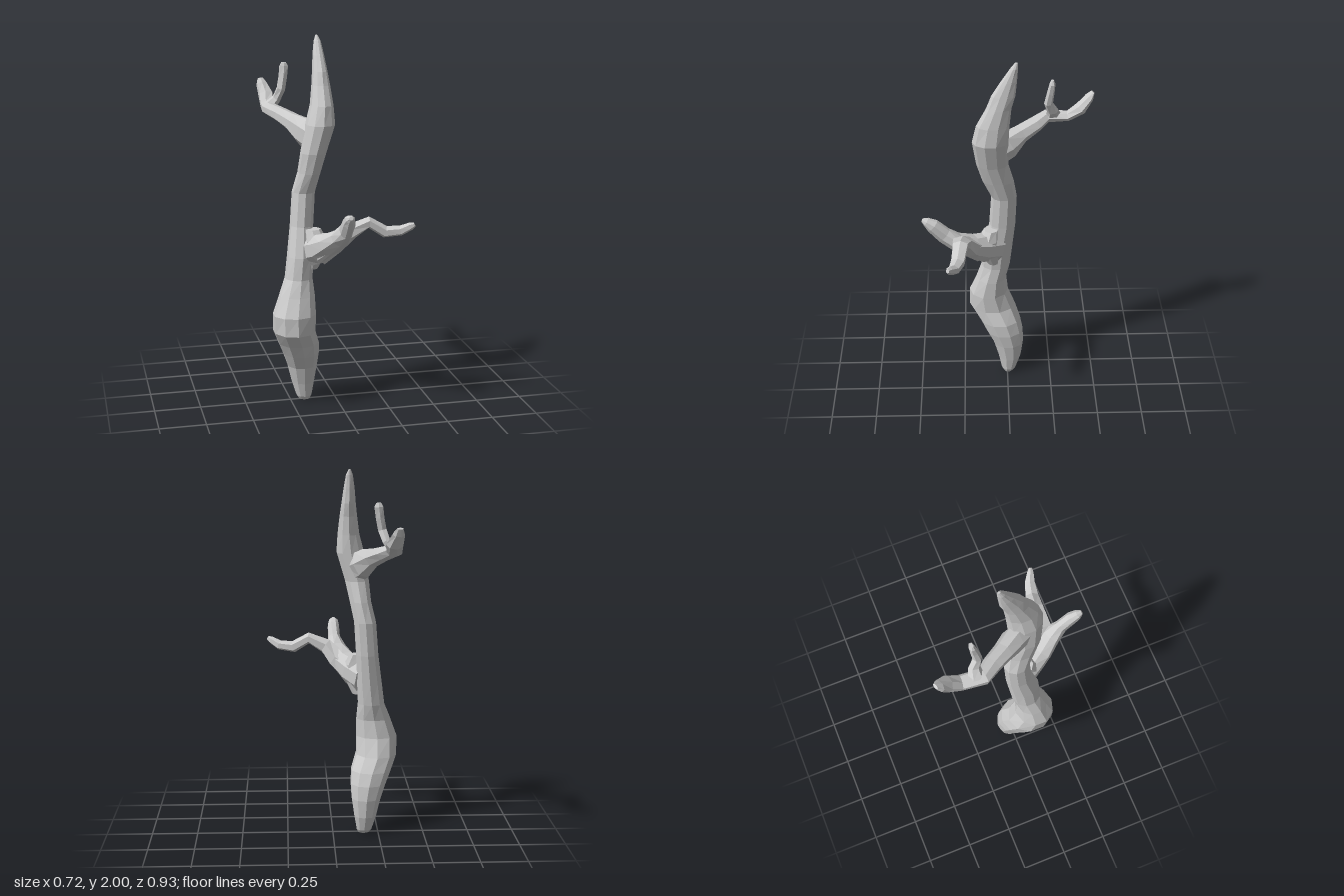
import * as THREE from 'three';

const material = new THREE.MeshStandardMaterial({ color: 0xcccccc, flatShading: true });

// Skins a closed limb through rings [x, y, z, ru, rv]; ref sets the ring's roll,
// and a level limb keeps all its rings horizontal.
function limb(name, rings, sides, ref, level = false) {
  const pts = rings.map(r => new THREE.Vector3(r[0], r[1], r[2]));
  const pos = [], index = [], n = rings.length;
  rings.forEach(([, , , ru, rv], i) => {
    const t = level ? new THREE.Vector3(0, 1, 0)
      : pts[Math.min(i + 1, n - 1)].clone().sub(pts[Math.max(i - 1, 0)]).normalize();
    const u = ref.clone().cross(t).normalize();
    const v = t.clone().cross(u);
    for (let k = 0; k < sides; k++) {
      const a = (k + 0.5) / sides * Math.PI * 2;
      const p = pts[i].clone().addScaledVector(u, Math.cos(a) * ru).addScaledVector(v, Math.sin(a) * rv);
      pos.push(p.x, p.y, p.z);
    }
  });
  for (let i = 0; i < n - 1; i++) {
    for (let k = 0; k < sides; k++) {
      const a = i * sides + k, b = i * sides + (k + 1) % sides;
      index.push(a, b, b + sides, a, b + sides, a + sides);
    }
  }
  // end caps
  const top = (n - 1) * sides;
  for (let k = 1; k < sides - 1; k++) {
    index.push(0, k + 1, k, top, top + k, top + k + 1);
  }
  const g = new THREE.BufferGeometry();
  g.setAttribute('position', new THREE.Float32BufferAttribute(pos, 3));
  g.setIndex(index);
  g.computeVertexNormals();
  const mesh = new THREE.Mesh(g, material);
  mesh.name = name;
  return mesh;
}

export function createModel() {
  const group = new THREE.Group();
  group.name = 'branch';
  const Y = new THREE.Vector3(0, 1, 0), Z = new THREE.Vector3(0, 0, 1);

  // winding trunk: height, x range, z range
  const trunk = [
    [0, -0.2, -0.14, -0.03, 0.02],
    [0.02, -0.215, -0.13, -0.05, 0.033],
    [0.1, -0.24, -0.115, -0.078, 0.05],
    [0.2, -0.265, -0.1, -0.092, 0.08],
    [0.28, -0.295, -0.095, -0.09, 0.125],
    [0.35, -0.325, -0.1, -0.075, 0.16],
    [0.43, -0.358, -0.128, -0.045, 0.215],
    [0.53, -0.362, -0.128, -0.005, 0.215],
    [0.63, -0.325, -0.13, 0.005, 0.175],
    [0.72, -0.288, -0.138, -0.015, 0.147],
    [0.84, -0.272, -0.13, -0.028, 0.14],
    [1.0, -0.25, -0.125, -0.045, 0.1],
    [1.18, -0.236, -0.113, -0.052, 0.088],
    [1.29, -0.21, -0.09, -0.035, 0.135],
    [1.4, -0.2, -0.065, -0.005, 0.167],
    [1.55, -0.175, -0.02, -0.005, 0.188],
    [1.65, -0.147, -0.026, -0.01, 0.165],
    [1.75, -0.132, -0.036, -0.02, 0.112],
    [1.82, -0.123, -0.045, -0.04, 0.085],
    [1.9, -0.115, -0.055, -0.048, 0.035],
    [1.97, -0.104, -0.066, -0.053, -0.012],
    [2.0, -0.092, -0.08, -0.052, -0.036],
  ].map(([y, x0, x1, z0, z1]) => [(x0 + x1) / 2, y, (z0 + z1) / 2, (x1 - x0) / 2, (z1 - z0) / 2]);
  group.add(limb('trunk', trunk, 10, Z, true));

  // upper limb reaching back, with its small twig
  group.add(limb('backLimb', [
    [-0.12, 1.47, 0.08, 0.06, 0.09],
    [-0.16, 1.5, 0.0, 0.065, 0.08],
    [-0.21, 1.54, -0.07, 0.055, 0.05],
    [-0.26, 1.57, -0.15, 0.05, 0.04],
    [-0.31, 1.595, -0.215, 0.045, 0.034],
    [-0.3, 1.6, -0.33, 0.042, 0.026],
    [-0.295, 1.645, -0.395, 0.045, 0.033],
    [-0.31, 1.7, -0.44, 0.034, 0.022],
    [-0.315, 1.73, -0.46, 0.018, 0.008],
  ], 7, Y));
  group.add(limb('backTwig', [
    [-0.305, 1.6, -0.25, 0.035, 0.045],
    [-0.265, 1.645, -0.245, 0.024, 0.032],
    [-0.245, 1.7, -0.22, 0.025, 0.024],
    [-0.232, 1.765, -0.23, 0.025, 0.02],
    [-0.225, 1.82, -0.238, 0.026, 0.016],
    [-0.225, 1.84, -0.238, 0.014, 0.008],
  ], 6, Z));

  // lower limb reaching forward, and the crooked fork on its left
  group.add(limb('frontLimb', [
    [-0.17, 0.86, 0.05, 0.06, 0.09],
    [-0.115, 0.89, 0.13, 0.07, 0.085],
    [-0.07, 0.93, 0.2, 0.075, 0.062],
    [-0.03, 0.98, 0.28, 0.06, 0.05],
    [-0.02, 1.03, 0.345, 0.035, 0.046],
    [-0.018, 1.09, 0.405, 0.034, 0.04],
    [-0.02, 1.115, 0.44, 0.026, 0.024],
    [-0.02, 1.125, 0.46, 0.012, 0.01],
  ], 8, Y));
  group.add(limb('leftFork', [
    [-0.12, 0.87, 0.14, 0.05, 0.07],
    [-0.04, 0.94, 0.21, 0.07, 0.055],
    [0.03, 1.005, 0.25, 0.06, 0.042],
    [0.125, 1.05, 0.255, 0.045, 0.031],
    [0.21, 0.998, 0.27, 0.04, 0.032],
    [0.29, 1.005, 0.29, 0.031, 0.027],
    [0.335, 1.03, 0.312, 0.02, 0.021],
    [0.355, 1.04, 0.32, 0.01, 0.012],
  ], 6, Y));
  // knuckle where the lower limb leaves the trunk
  group.add(limb('limbCollar', [
    [-0.14, 0.77, 0.08, 0.03, 0.03],
    [-0.13, 0.84, 0.1, 0.055, 0.055],
    [-0.125, 0.93, 0.11, 0.06, 0.06],
    [-0.14, 0.99, 0.09, 0.045, 0.04],
  ], 7, Z, true));
  return group;
}
